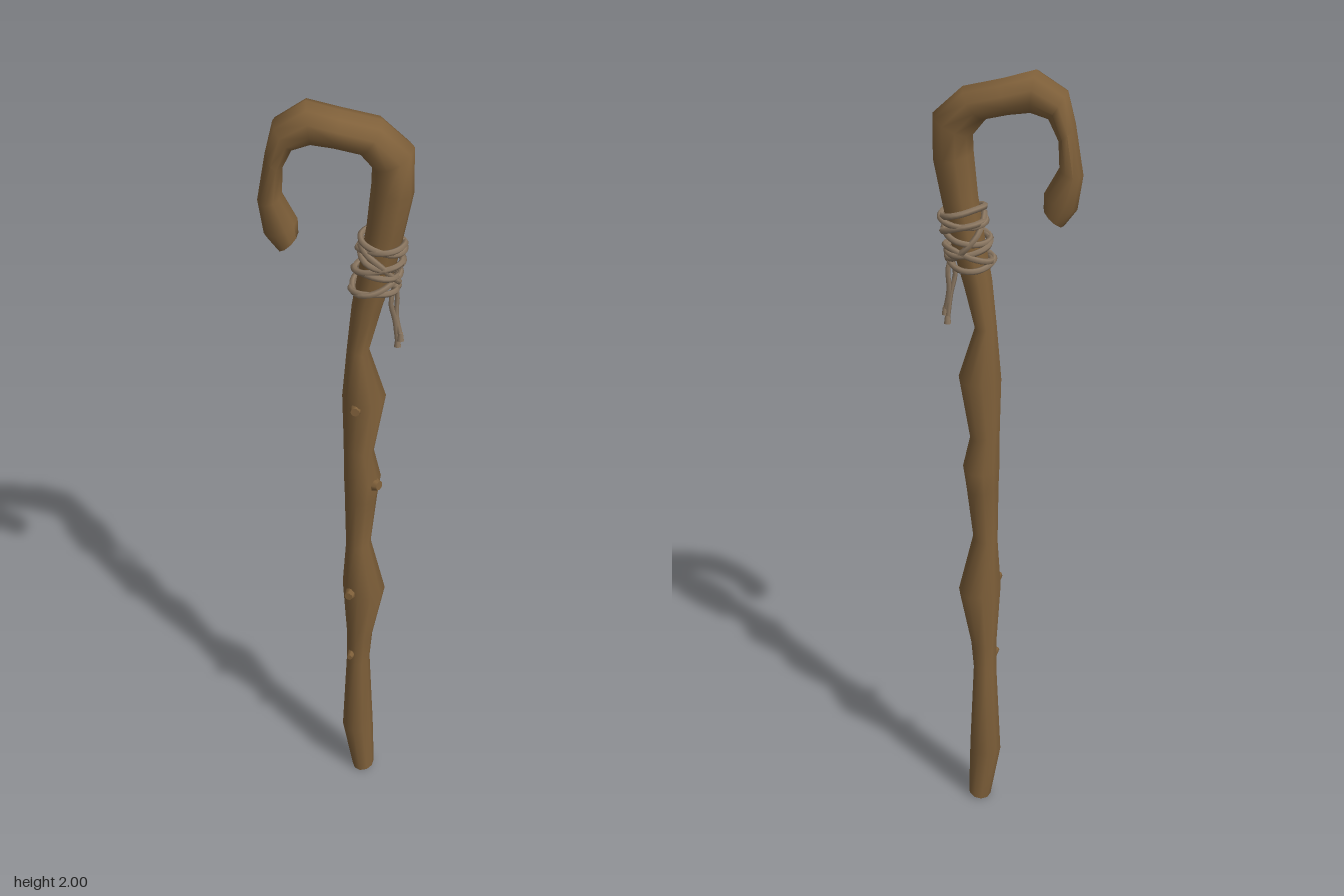
import * as THREE from 'three';
import { toCreasedNormals } from 'three/addons/utils/BufferGeometryUtils.js';

// Cross-sections from foot to hook tip: outer x, y, inner x, y, half depth, z centre
const SECTIONS = [
  [0.105, 0.012, 0.046, 0, 0.034, 0],
  [0.1, 0.17, 0.018, 0.16, 0.038, 0],
  [0.088, 0.42, 0.028, 0.42, 0.042, 0],
  [0.094, 0.5, 0.028, 0.5, 0.034, 0],
  [0.124, 0.66, 0.016, 0.68, 0.058, 0],
  [0.086, 0.82, 0.024, 0.81, 0.031, 0.002],
  [0.1, 0.96, 0.02, 0.97, 0.046, -0.004],
  [0.108, 1.02, 0.018, 1.02, 0.05, -0.004],
  [0.09, 1.1, 0.017, 1.12, 0.038, -0.002],
  [0.116, 1.26, 0.013, 1.26, 0.056, -0.001],
  [0.075, 1.39, 0.024, 1.4, 0.038, 0],
  [0.102, 1.5, 0.034, 1.51, 0.042, 0],
  [0.13, 1.6, 0.05, 1.61, 0.045, 0],
  [0.15, 1.7, 0.065, 1.71, 0.048, 0],
  [0.167, 1.79, 0.074, 1.81, 0.054, 0],
  [0.165, 1.895, 0.075, 1.85, 0.056, -0.002],
  [0.097, 1.957, 0.045, 1.887, 0.056, -0.002],
  [0.01, 1.978, -0.01, 1.9, 0.055, -0.003],
  [-0.065, 2, -0.055, 1.905, 0.051, -0.003],
  [-0.135, 1.955, -0.092, 1.895, 0.048, -0.002],
  [-0.153, 1.88, -0.115, 1.85, 0.046, -0.002],
  [-0.172, 1.77, -0.118, 1.785, 0.041, -0.003],
  [-0.16, 1.69, -0.085, 1.725, 0.041, -0.003],
  [-0.13, 1.65, -0.084, 1.69, 0.032, -0.003],
];
const SIDES = 10;

// Loft oval rings through the sections and close both ends
function loftStaff() {
  const pos = [], index = [];
  for (const [ox, oy, ix, iy, rz, cz] of SECTIONS) {
    for (let j = 0; j < SIDES; j++) {
      const a = (j / SIDES) * Math.PI * 2, c = (1 + Math.cos(a)) / 2;
      pos.push(ix + (ox - ix) * c, iy + (oy - iy) * c, cz + rz * 1.03 * Math.sin(a));
    }
  }
  const last = SECTIONS.length - 1;
  for (let i = 0; i < last; i++) {
    for (let j = 0; j < SIDES; j++) {
      const k = (j + 1) % SIDES;
      const a = i * SIDES + j, b = i * SIDES + k, c = a + SIDES, d = b + SIDES;
      index.push(a, c, b, b, c, d);
    }
  }
  for (let j = 1; j < SIDES - 1; j++) {
    index.push(0, j, j + 1);
    index.push(last * SIDES, last * SIDES + j + 1, last * SIDES + j);
  }
  const g = new THREE.BufferGeometry();
  g.setAttribute('position', new THREE.Float32BufferAttribute(pos, 3));
  g.setIndex(index);
  return toCreasedNormals(g, 1.0);
}

export function createModel() {
  const model = new THREE.Group();
  const wood = new THREE.MeshStandardMaterial({ color: 0x7f603a });
  wood.name = 'brown wood';
  const rope = new THREE.MeshStandardMaterial({ color: 0x8c7862 });
  rope.name = 'pale rope';

  const add = (parent, name, geometry, material) => {
    const mesh = new THREE.Mesh(geometry, material);
    mesh.name = name;
    parent.add(mesh);
    return mesh;
  };

  add(model, 'staff', loftStaff(), wood);

  // Cut branch stubs: position, outward direction, radius
  const stubs = [
    [[0.093, 1.015, 0.026], [0.8, 0.1, 0.6], 0.021],
    [[0.045, 1.25, 0.046], [-0.2, 0.1, 1], 0.018],
    [[0.035, 0.675, 0.044], [-0.4, 0.1, 1], 0.018],
    [[0.038, 0.45, 0.032], [-0.3, 0.1, 1], 0.012],
  ];
  for (const [p, d, r] of stubs) {
    const stub = add(model, 'branchStub', new THREE.CylinderGeometry(r * 0.6, r, 0.026, 7), wood);
    stub.position.set(...p);
    stub.quaternion.setFromUnitVectors(new THREE.Vector3(0, 1, 0), new THREE.Vector3(...d).normalize());
  }

  const binding = new THREE.Group();
  binding.name = 'ropeBinding';
  model.add(binding);
  const axisX = (y) => 0.09 + (y - 1.6) * 0.17;

  // Uneven, tilted turns of rope: height, tilt along x, tilt along z
  const turns = [
    [1.555, 0.0, 0.008], [1.575, 0.018, -0.008], [1.595, -0.008, 0.012],
    [1.618, 0.012, 0.004], [1.638, -0.014, -0.01], [1.66, 0.006, 0.01],
    [1.673, -0.012, -0.006], [1.615, -0.045, 0.02],
  ];
  turns.forEach(([y, tx, tz], n) => {
    const points = [];
    for (let j = 0; j < 14; j++) {
      const a = (j / 14) * Math.PI * 2;
      const r = 0.051 + 0.003 * Math.sin(3 * a + n * 2);
      const py = y + tx * Math.cos(a) + tz * Math.sin(a);
      points.push(new THREE.Vector3(axisX(py) + r * Math.cos(a), py, r * Math.sin(a)));
    }
    const loop = new THREE.CatmullRomCurve3(points, true);
    add(binding, 'ropeTurn', new THREE.TubeGeometry(loop, 28, 0.0075, 5, true), rope);
  });

  // Knot and two hanging tails
  const knot = add(binding, 'ropeKnot', new THREE.SphereGeometry(0.014, 8, 6), rope);
  knot.position.set(0.132, 1.56, 0);
  const tails = [
    [[0.13, 1.56, 0], [0.122, 1.52, 0.008], [0.132, 1.47, 0.003], [0.14, 1.405, -0.003]],
    [[0.13, 1.56, 0], [0.136, 1.53, -0.006], [0.135, 1.48, -0.004], [0.146, 1.425, 0.003]],
  ];
  for (const tail of tails) {
    const curve = new THREE.CatmullRomCurve3(tail.map((p) => new THREE.Vector3(...p)));
    add(binding, 'ropeTail', new THREE.TubeGeometry(curve, 10, 0.006, 5), rope);
    const end = add(binding, 'ropeTailEnd', new THREE.CylinderGeometry(0.006, 0.009, 0.02, 6), rope);
    end.position.set(...tail[3]);
  }
  return model;
}
